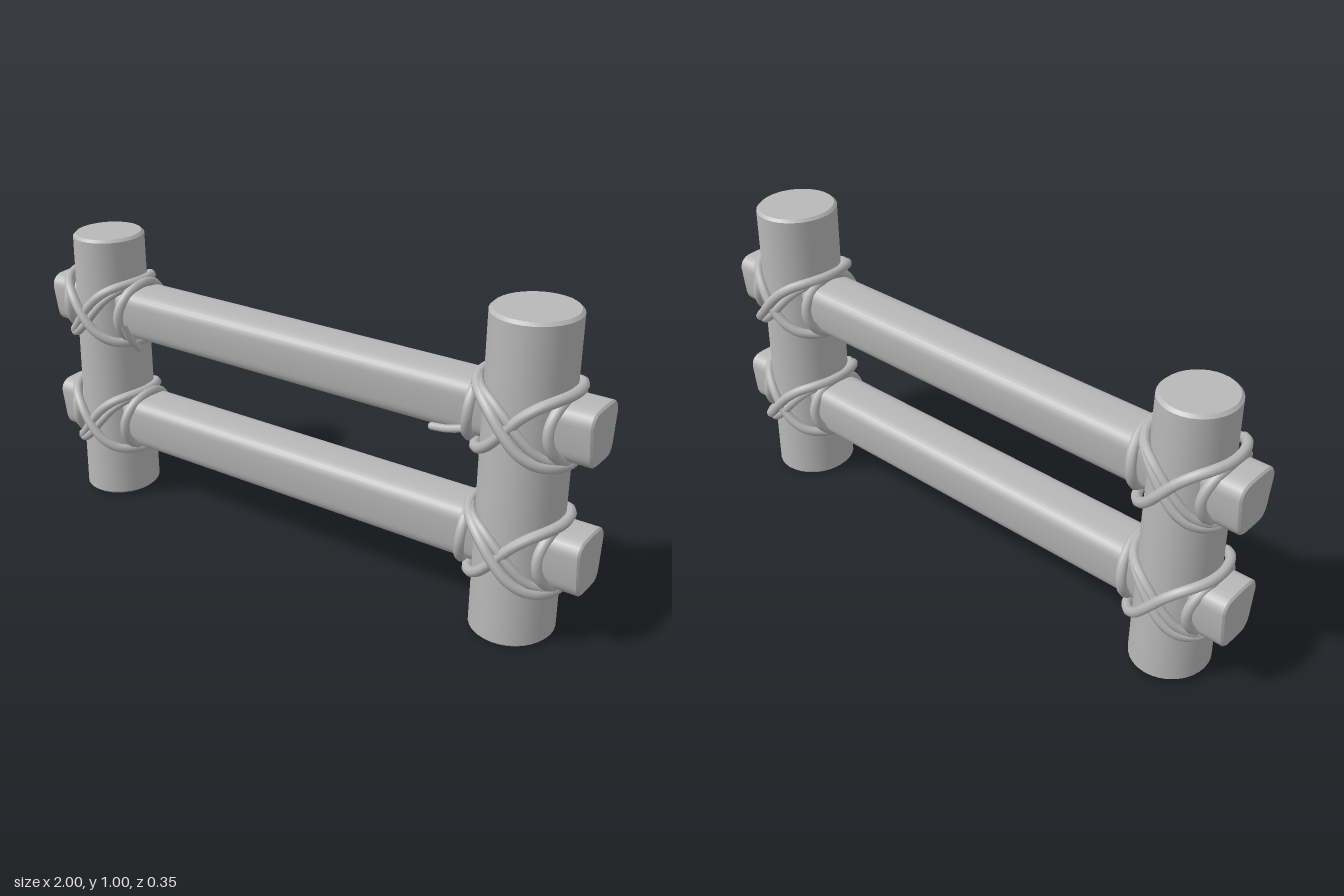
import * as THREE from 'three';
import { toCreasedNormals } from 'three/addons/utils/BufferGeometryUtils.js';

const wood = new THREE.MeshStandardMaterial({ color: 0xb8b8b8 });
wood.name = 'plain grey';

const ROPE = 0.016; // rope radius
const MID_Z = 0.012; // depth of the post axes

function addMesh(parent, name, geometry) {
  const mesh = new THREE.Mesh(geometry, wood);
  mesh.name = name;
  parent.add(mesh);
  return mesh;
}

// Round log standing upright with a small worn edge at both ends
function makePost(bottomR, topR, y0, y1, depthScale) {
  const b = 0.009;
  const profile = [
    [0, y0], [bottomR - b, y0], [bottomR, y0 + b],
    [topR, y1 - b], [topR - b, y1], [0, y1],
  ].map(([r, y]) => new THREE.Vector2(r, y));
  const geo = new THREE.LatheGeometry(profile, 32);
  geo.scale(1, 1, depthScale);
  return toCreasedNormals(geo, 0.5);
}

// Rail: flat top, rounded shoulders and a narrower underside
function makeRail(height) {
  const t = height / 2, b = 0.006;
  const s = new THREE.Shape();
  s.moveTo(-0.032, -t + b);
  s.lineTo(0.036, -t + b);
  s.quadraticCurveTo(0.062, -t + b, 0.068, -t + 0.04);
  s.lineTo(0.079, t - 0.045);
  s.quadraticCurveTo(0.08, t - 0.017, 0.05, t - 0.01);
  s.quadraticCurveTo(0, t - b, -0.05, t - 0.01);
  s.quadraticCurveTo(-0.08, t - 0.017, -0.079, t - 0.045);
  s.lineTo(-0.066, -t + 0.045);
  s.quadraticCurveTo(-0.06, -t + b, -0.032, -t + b);
  const geo = new THREE.ExtrudeGeometry(s, {
    depth: 2 - 2 * b, bevelEnabled: true, bevelThickness: b,
    bevelSize: b, bevelSegments: 1, curveSegments: 5,
  });
  geo.translate(0, 0, -1 + b);
  geo.rotateY(Math.PI / 2);
  return toCreasedNormals(geo, 0.6);
}

// Closed rope through points given by a rule of the angle
function ropeLoop(rule, radius = ROPE) {
  const pts = [];
  for (let i = 0; i < 20; i++) pts.push(rule((i / 20) * Math.PI * 2));
  const curve = new THREE.CatmullRomCurve3(pts, true);
  return new THREE.TubeGeometry(curve, 72, radius, 8, true);
}

// Slanted loop round the post: over the rail on one side, under it on the other
function slantedLoop(rx, rz, h, slant, phase, radius) {
  return ropeLoop((a) => new THREE.Vector3(
    rx * Math.cos(a),
    (slant * h * Math.tanh(1.5 * Math.cos(a + phase))) / Math.tanh(1.5),
    rz * Math.sin(a),
  ), radius);
}

// Loop round the rail, bowed towards the post at front and back
function railLoop(x, lean, bow) {
  return ropeLoop((a) => new THREE.Vector3(
    x + lean * Math.sin(a) - Math.sign(x) * bow * Math.cos(a) ** 2,
    0.099 * Math.sin(a),
    0.108 * Math.cos(a),
  ));
}

// Cross lashing at one joint
function makeLashing(rx, rz, inner) {
  const g = new THREE.Group();
  const px = rx + 0.013, pz = rz + 0.011;
  addMesh(g, 'risingRope', slantedLoop(px, pz, 0.104, 1, 0));
  addMesh(g, 'fallingRope', slantedLoop(px + 0.004, pz + 0.012, 0.104, -1, 0));
  addMesh(g, 'secondRope', slantedLoop(px, pz - 0.002, 0.1, inner, 0.24, 0.014));
  addMesh(g, 'innerRailRope', railLoop(inner * (rx + 0.018), 0.008, 0.012));
  addMesh(g, 'outerRailRope', railLoop(-inner * (rx + 0.008), -0.006, 0.025));
  return g;
}

// Loose rope end
function makeTail(points) {
  const curve = new THREE.CatmullRomCurve3(points.map((p) => new THREE.Vector3(...p)));
  const geo = new THREE.TubeGeometry(curve, 12, 0.012, 8, false);
  return geo;
}

export function createModel() {
  const model = new THREE.Group();
  model.name = 'fence';

  const rails = [
    { name: 'upper', y: 0.682, height: 0.174 },
    { name: 'lower', y: 0.284, height: 0.184 },
  ];
  const posts = [
    { name: 'right', x: -0.793, bottom: 0.123, top: 0.114, y0: 0.008, y1: 0.938, depth: 1.08, inner: 1 },
    { name: 'left', x: 0.778, bottom: 0.128, top: 0.127, y0: 0, y1: 1, depth: 1.07, inner: -1 },
  ];

  for (const r of rails) {
    addMesh(model, r.name + 'Rail', makeRail(r.height)).position.set(0, r.y, 0.008);
  }

  for (const p of posts) {
    addMesh(model, p.name + 'Post', makePost(p.bottom, p.top, p.y0, p.y1, p.depth))
      .position.set(p.x, 0, MID_Z);
    const r = (p.bottom + p.top) / 2;
    for (const rail of rails) {
      const lashing = makeLashing(r, r * p.depth, p.inner);
      lashing.name = p.name + rail.name[0].toUpperCase() + rail.name.slice(1) + 'Lashing';
      lashing.position.set(p.x, rail.y + 0.003, MID_Z);
      model.add(lashing);
    }
  }

  // Rope ends hanging from the upper lashings
  const tails = [
    [[0.525, 0.612, 0.1], [0.58, 0.622, 0.108], [0.64, 0.64, 0.11]],
    [[-0.648, 0.56, 0.05], [-0.65, 0.6, 0.085], [-0.655, 0.66, 0.112]],
  ];
  for (const t of tails) {
    addMesh(model, 'ropeEnd', makeTail(t));
    const cap = addMesh(model, 'ropeEndTip', new THREE.SphereGeometry(0.012, 8, 6));
    cap.position.set(...t[0]);
  }
  return model;
}
